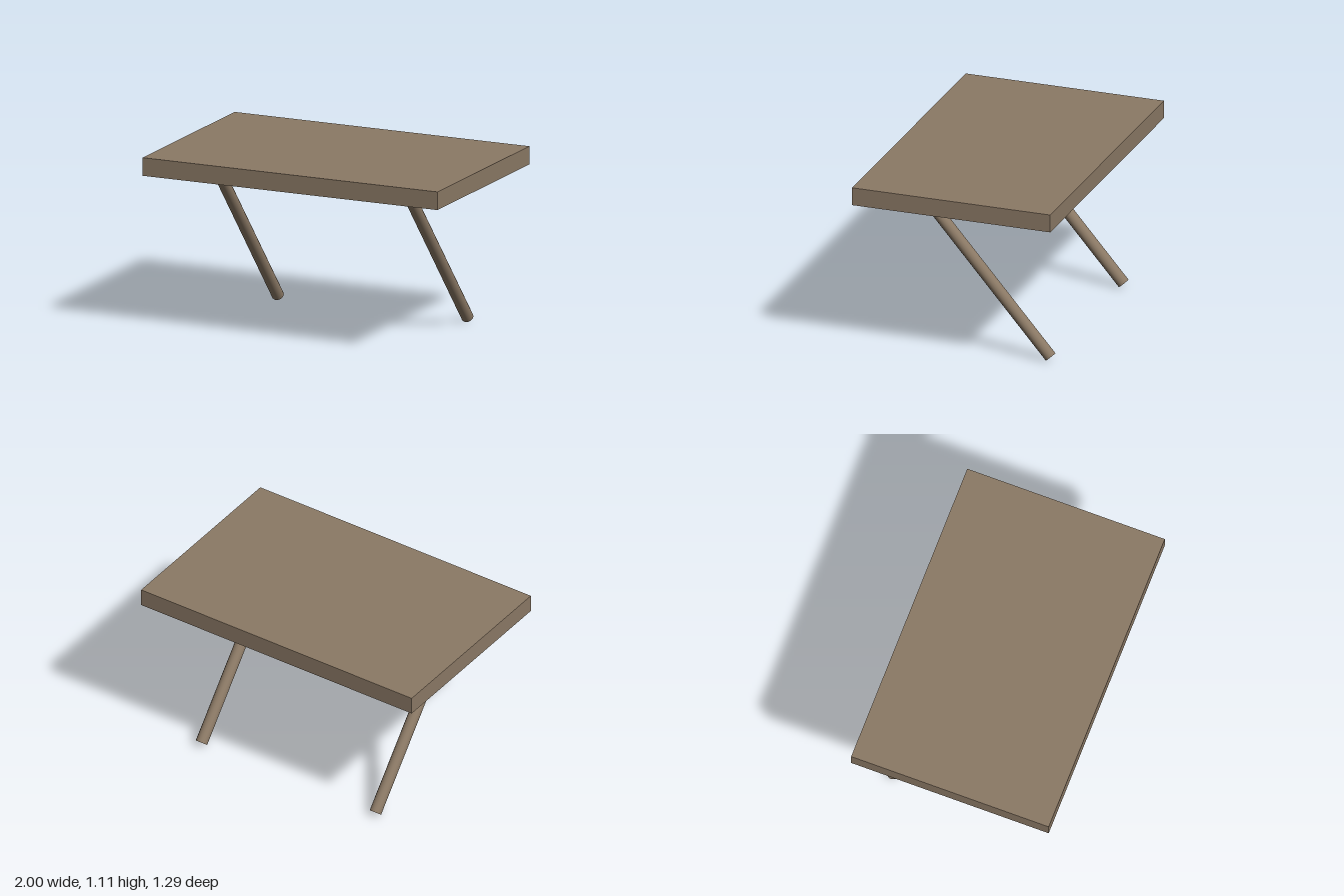
import * as THREE from 'three';

export function createModel() {
  const table = new THREE.Group();
  table.name = 'table';
  const wood = new THREE.MeshStandardMaterial({ color: 0x8b7965 });

  // Thick slab top
  const top = new THREE.Mesh(new THREE.BoxGeometry(2, 0.114, 1.29), wood);
  top.name = 'tabletop';
  top.position.y = 1.053;
  table.add(top);

  // Two round legs slanting back from under the top to the floor
  const foot = new THREE.Vector3(0, 0.025, -0.515);
  const head = new THREE.Vector3(0, 0.995, 0.324);
  const axis = head.clone().sub(foot);
  const legGeometry = new THREE.CylinderGeometry(0.0375, 0.0375, axis.length(), 16);
  for (const side of [-1, 1]) {
    const leg = new THREE.Mesh(legGeometry, wood);
    leg.name = side > 0 ? 'leftLeg' : 'rightLeg';
    leg.position.copy(foot).add(head).multiplyScalar(0.5);
    leg.position.x = side * 0.643;
    leg.rotation.x = Math.atan2(axis.z, axis.y);
    table.add(leg);
  }
  return table;
}
